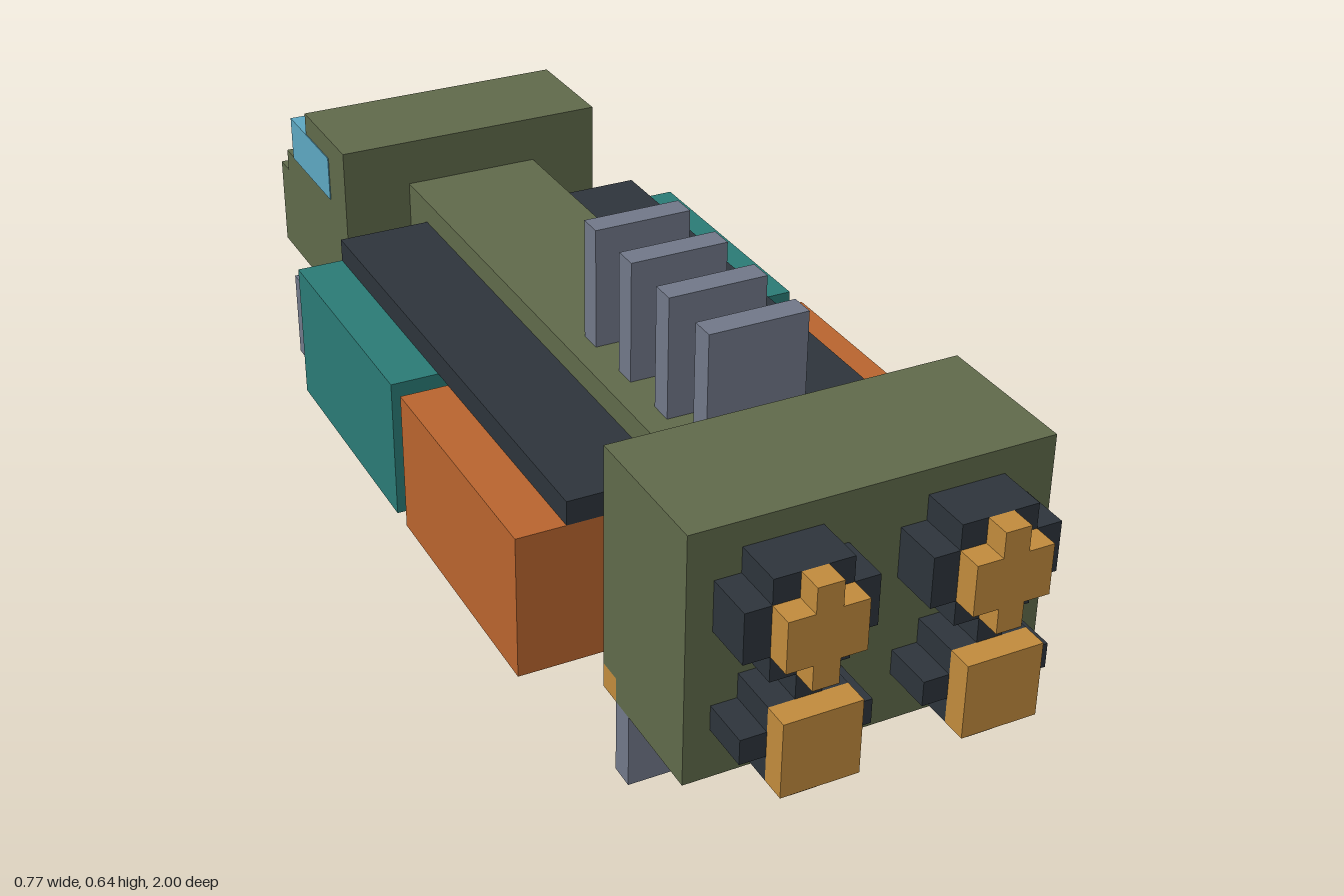
import * as THREE from 'three';

const U = 2 / 47; // one block; all part sizes below are in blocks

const paint = (name, color) => {
  const m = new THREE.MeshStandardMaterial({ color });
  m.name = name;
  return m;
};

export function createModel() {
  const olive = paint('olive hull', 0x5f694a);
  const dark = paint('dark metal', 0x2d343b);
  const grey = paint('grey metal', 0x707788);
  const orange = paint('orange cargo', 0xb8642e);
  const teal = paint('teal cargo', 0x2a7a75);
  const amber = paint('amber glow', 0xc08a3c);
  const blue = paint('blue glass', 0x5ca6c0);
  const cream = paint('cream lamp', 0xc4ab78);

  const model = new THREE.Group();
  model.name = 'cargoShip';

  // Box between two corners, given as ranges on each axis
  const box = (name, mat, [x0, x1], [y0, y1], [z0, z1]) => {
    const geo = new THREE.BoxGeometry((x1 - x0) * U, (y1 - y0) * U, (z1 - z0) * U);
    const mesh = new THREE.Mesh(geo, mat);
    mesh.position.set((x0 + x1) / 2 * U, (y0 + y1) / 2 * U, (z0 + z1) / 2 * U);
    mesh.name = name;
    model.add(mesh);
  };
  const pair = (name, mat, [x0, x1], y, z) => {
    box(name + 'Left', mat, [x0, x1], y, z);
    box(name + 'Right', mat, [-x1, -x0], y, z);
  };

  // Engine block with a glowing strip along its lower inner edge
  box('engineBlock', olive, [-7, 7], [4, 13], [14.5, 20.5]);
  box('engineBlockBase', olive, [-7, 7], [3, 4], [15.5, 20.5]);
  box('engineStrip', amber, [-7, 7], [3, 4], [14.5, 15.5]);

  // Nozzles: stepped dark housings with amber burners
  const housing = [20.5, 22.5], burner = [22.5, 23.5];
  pair('upperNozzleWide', dark, [1, 6], [9, 11], housing);
  pair('upperNozzleTall', dark, [2, 5], [8, 12], housing);
  pair('upperBurnerWide', amber, [2, 5], [9, 11], burner);
  pair('upperBurnerTall', amber, [3, 4], [8, 12], burner);
  pair('lowerNozzleCore', dark, [2, 5], [4, 7], housing);
  pair('lowerNozzleWide', dark, [1, 6], [5, 6], housing);
  pair('lowerNozzleTall', dark, [3, 4], [3, 8], housing);
  pair('lowerBurner', amber, [2, 5], [4, 7], burner);

  // Spine, cargo rails and containers
  box('spine', olive, [-3, 3], [6, 10], [-13.5, 14.5]);
  pair('cargoRail', dark, [3, 7], [8, 9], [-11.5, 11.5]);
  pair('orangeContainer', orange, [3, 9], [2, 8], [0.5, 11.5]);
  pair('tealContainer', teal, [3, 9], [2, 8], [-11.5, -0.5]);

  // Radiator fins on the spine
  for (let i = 0; i < 4; i++) {
    box('radiatorFin' + (i + 1), grey, [-2, 2], [10, 15], [2.5 + 3 * i, 3.5 + 3 * i]);
  }

  // Cab, stepping down to its nose
  box('cabNose', olive, [-6, 6], [4, 8], [-22.5, -13.5]);
  box('cabSill', olive, [-6, 6], [8, 9], [-21.5, -13.5]);
  box('cabBody', olive, [-6, 6], [9, 12], [-18.5, -13.5]);
  box('cabUpperStep', olive, [-5, 5], [9, 11], [-19.5, -18.5]);
  box('cabLowerStep', olive, [-5, 5], [9, 10], [-20.5, -19.5]);

  // Glass, lamps and bumper
  pair('sideWindow', blue, [5, 6.04], [9, 11], [-20.5, -15.5]);
  box('windscreen', blue, [-5, 5], [8, 10], [-22.5, -21.5]);
  box('bumper', dark, [-5, 5], [4, 6], [-23.5, -22.5]);
  pair('headlamp', cream, [3, 5], [6, 7], [-23.5, -22.5]);

  // Landing legs
  pair('engineLeg', grey, [5, 7], [0, 3], [15.5, 16.5]);
  pair('cabLeg', grey, [5, 7], [0, 4], [-18.5, -17.5]);

  return model;
}
